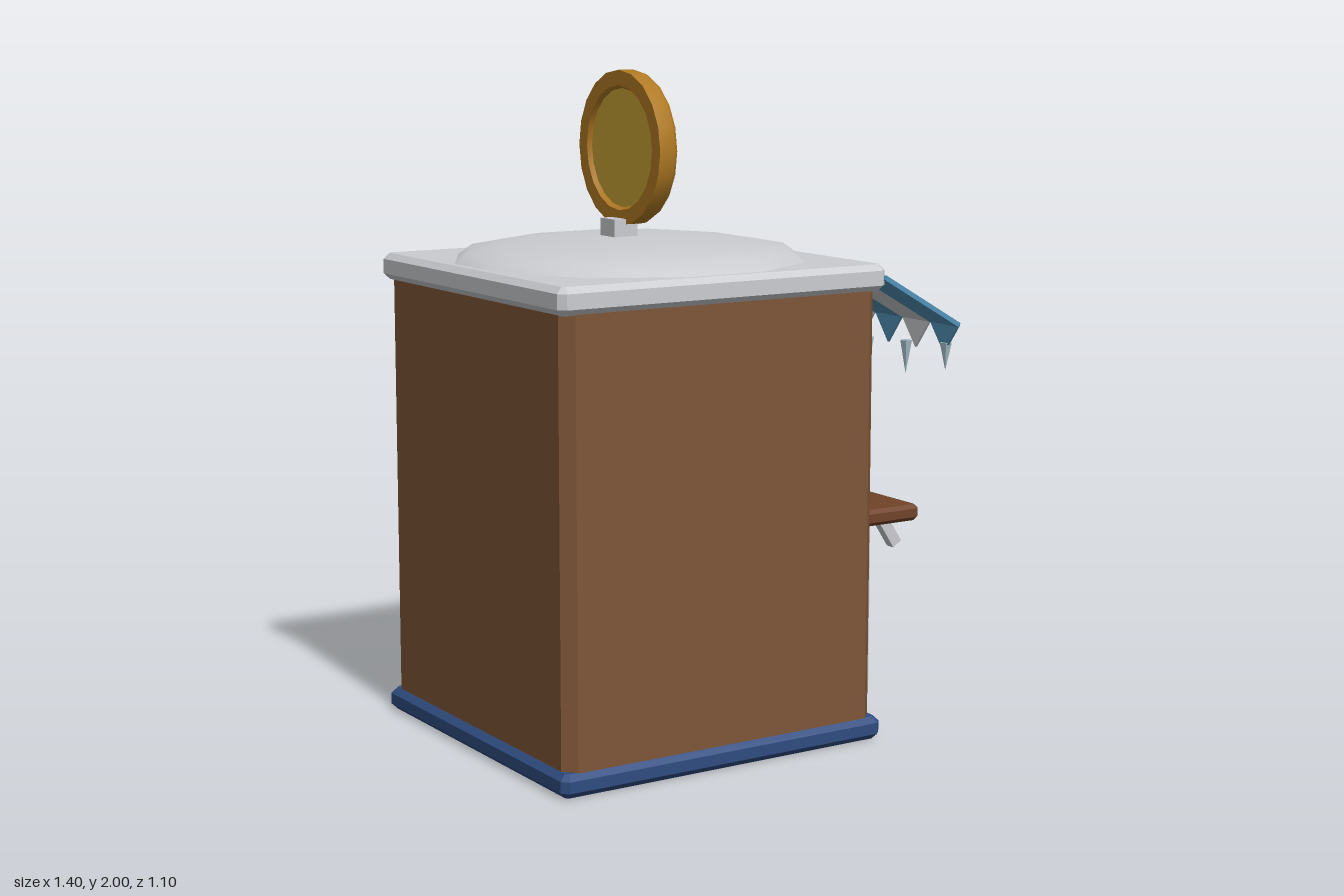
import * as THREE from 'three';
import { toCreasedNormals } from 'three/addons/utils/BufferGeometryUtils.js';

const paint = (name, color) => {
  const m = new THREE.MeshStandardMaterial({ color });
  m.name = name;
  return m;
};

export function createModel() {
  const brown = paint('wall brown', 0x7f5638);
  const darkBrown = paint('shelf brown', 0x70432a);
  const snow = paint('snow white', 0xcbccd0);
  const blue = paint('awning blue', 0x5292b8);
  const navy = paint('base navy', 0x2f4c80);
  const gold = paint('gold', 0xb07a22);
  const brightGold = paint('bright gold', 0xc8a035);
  const ice = paint('ice', 0xa3bac4);

  const model = new THREE.Group();
  model.name = 'marketStall';
  const CX = -0.145; // middle of the booth

  const add = (name, geometry, material, x = 0, y = 0, z = 0, parent = model) => {
    const mesh = new THREE.Mesh(geometry, material);
    mesh.name = name;
    mesh.position.set(x, y, z);
    parent.add(mesh);
    return mesh;
  };

  // Box with cut vertical corners and, if bevel > 0, bevelled top and bottom
  const chamferBox = (w, h, d, cut, bevel) => {
    const a = w / 2, b = d / 2;
    const shape = new THREE.Shape([
      [a - cut, -b], [a, -b + cut], [a, b - cut], [a - cut, b],
      [-a + cut, b], [-a, b - cut], [-a, -b + cut], [-a + cut, -b],
    ].map(([x, y]) => new THREE.Vector2(x, y)));
    const g = new THREE.ExtrudeGeometry(shape, {
      depth: h - 2 * bevel, bevelEnabled: bevel > 0, bevelSegments: 1,
      bevelThickness: bevel, bevelSize: bevel, bevelOffset: -bevel,
    });
    g.translate(0, 0, bevel - h / 2);
    g.rotateX(-Math.PI / 2);
    return g;
  };

  // Upright plate facing +x, made from a shape whose x axis runs along -z
  const plate = (shape, depth) => {
    const g = new THREE.ExtrudeGeometry(shape, { depth, bevelEnabled: false });
    g.rotateY(Math.PI / 2);
    return g;
  };
  const rect = (Type, halfW, y0, y1) => new Type([
    new THREE.Vector2(-halfW, y0), new THREE.Vector2(halfW, y0),
    new THREE.Vector2(halfW, y1), new THREE.Vector2(-halfW, y1),
  ]);
  const frame = (w, y0, y1, innerW, innerY0, innerY1) => {
    const shape = rect(THREE.Shape, w, y0, y1);
    shape.holes.push(rect(THREE.Path, innerW, innerY0, innerY1));
    return plate(shape, 0.012);
  };

  // Booth
  add('base', chamferBox(1.11, 0.07, 1.1, 0.02, 0.018), navy, CX, 0.035, 0);
  add('booth', chamferBox(1.07, 1.3, 1.068, 0.035, 0), brown, CX, 0.715, 0);
  add('roofSlab', chamferBox(1.11, 0.08, 1.1, 0.02, 0.018), snow, CX, 1.4, 0);

  // Low twelve-sided snow mound
  const mound = new THREE.LatheGeometry([
    [0.54, 1.435], [0.49, 1.472], [0.39, 1.49], [0.27, 1.503], [0.13, 1.509], [0, 1.511],
  ].map(([r, y]) => new THREE.Vector2(r, y)), 12, Math.PI / 12);
  add('snowMound', mound, snow, CX, 0, 0);

  // Serving window and lower panel trim
  add('windowFrame', frame(0.42, 0.69, 1.235, 0.38, 0.73, 1.2), snow, 0.388, 0, 0);
  add('windowPane', plate(rect(THREE.Shape, 0.385, 0.725, 1.205), 0.006), navy, 0.388, 0, 0);
  add('panelTrim', frame(0.49, 0.125, 0.6, 0.43, 0.17, 0.56), snow, 0.388, 0, 0);

  // Shelf with slanted brackets
  add('shelf', chamferBox(0.2, 0.05, 1, 0.012, 0.012), darkBrown, 0.48, 0.67, 0);
  for (const z of [0.415, -0.415]) {
    const bracket = add('shelfBracket', new THREE.BoxGeometry(0.035, 0.13, 0.032), snow, 0.513, 0.617, z);
    bracket.rotation.z = 0.58;
  }

  // Coin stacks
  for (const [x, z, count] of [[0.49, 0.277, 3], [0.5, 0.17, 2], [0.47, -0.29, 4]]) {
    const stack = new THREE.Group();
    stack.name = 'coinStack';
    stack.position.set(x, 0.695, z);
    model.add(stack);
    for (let i = 0; i < count; i++) {
      const y = i * 0.022;
      add('coin', new THREE.CylinderGeometry(0.042, 0.042, 0.016, 12), gold, 0, y + 0.008, 0, stack);
      add('coinFace', new THREE.CylinderGeometry(0.037, 0.037, 0.006, 12), brightGold, 0, y + 0.019, 0, stack);
    }
  }

  // Striped awning with a pointed valance
  const top = new THREE.Vector2(0.4, 1.4), edge = new THREE.Vector2(0.68, 1.24);
  const slope = edge.clone().sub(top);
  const width = 1.1 / 8;
  const pennant = plate(new THREE.Shape([
    new THREE.Vector2(-width / 2, 1.24), new THREE.Vector2(0, 1.15), new THREE.Vector2(width / 2, 1.24),
  ]), 0.008);
  for (let i = 0; i < 8; i++) {
    const z = -0.55 + (i + 0.5) * width;
    const material = i % 2 ? blue : snow;
    const stripe = add('awningStripe', new THREE.BoxGeometry(slope.length(), 0.014, width), material,
      (top.x + edge.x) / 2, (top.y + edge.y) / 2, z);
    stripe.rotation.z = slope.angle();
    add('valancePoint', pennant, material, 0.674, 0, z);
  }

  // Icicles in three repeating lengths
  [0.485, 0.291, 0.097, -0.097, -0.291, -0.485].forEach((z, i) => {
    const tip = [1.095, 1.06, 1.028][i % 3];
    const length = 0.085 + (i % 3) * 0.02;
    const icicle = new THREE.ConeGeometry(0.019, length, 5);
    icicle.rotateX(Math.PI);
    add('icicle', toCreasedNormals(icicle, 0.5), ice, 0.68, tip + length / 2, z);
  });

  // Big coin sign: raised rim at the back, rounded edge at the front
  add('signPost', new THREE.BoxGeometry(0.08, 0.08, 0.08), snow, -0.18, 1.522, 0);
  const sign = new THREE.Group();
  sign.name = 'coinSign';
  sign.position.set(CX, 1.77, 0);
  sign.rotation.z = -Math.PI / 2;
  model.add(sign);
  const disc = new THREE.LatheGeometry([
    [0.175, -0.02], [0.185, -0.035], [0.23, -0.035], [0.23, 0.016], [0.223, 0.028], [0.207, 0.035], [0, 0.035],
  ].map(([r, y]) => new THREE.Vector2(r, y)), 20);
  add('signDisc', toCreasedNormals(disc, 0.7), gold, 0, 0, 0, sign);
  add('signInset', new THREE.CylinderGeometry(0.18, 0.18, 0.008, 20), brightGold, 0, -0.018, 0, sign);

  return model;
}
